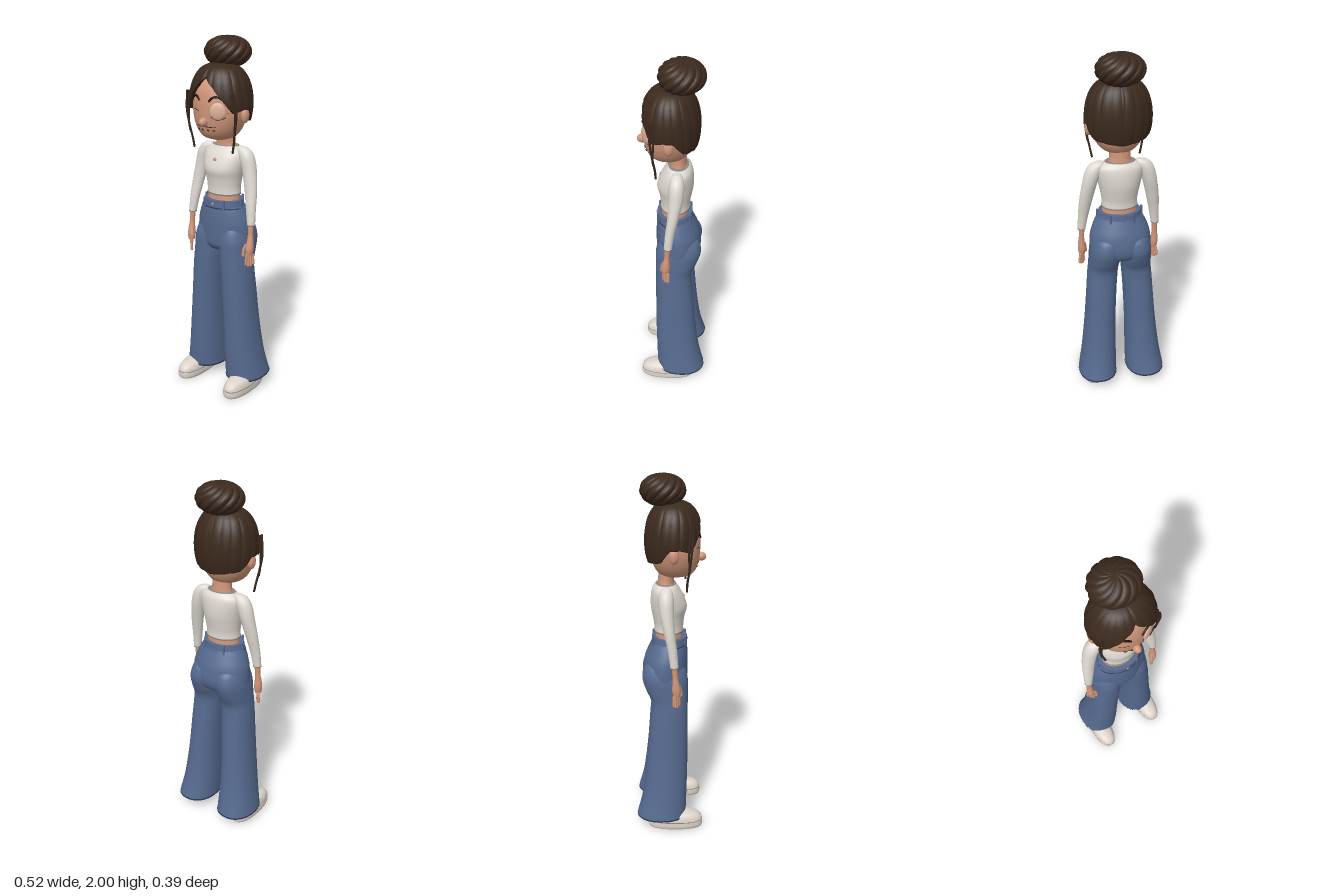
import * as THREE from 'three';
import { mergeGeometries } from 'three/addons/utils/BufferGeometryUtils.js';

const mat = (name, color, side = THREE.FrontSide) => {
  const m = new THREE.MeshStandardMaterial({ color, side });
  m.name = name;
  return m;
};

// Closed-around surface: f(u, v) with u once round from the front, v upward
function grid(nu, nv, f) {
  const pos = [], idx = [];
  for (let i = 0; i <= nv; i++)
    for (let j = 0; j < nu; j++) pos.push(...f(j / nu * Math.PI * 2, i / nv));
  for (let i = 0; i < nv; i++)
    for (let j = 0; j < nu; j++) {
      const a = i * nu + j, b = i * nu + (j + 1) % nu;
      idx.push(a, b, b + nu, a, b + nu, a + nu);
    }
  const g = new THREE.BufferGeometry();
  g.setAttribute('position', new THREE.Float32BufferAttribute(pos, 3));
  g.setIndex(idx);
  g.computeVertexNormals();
  return g;
}

// Smooth loft through rows [y, xMin, xMax, zBack, zFront], listed bottom to top
function loft(rows, { caps = true, power = 2, nu = 40 } = {}) {
  const n = rows.length - 1;
  const row = (v) => {
    const s = Math.min(v * n, n - 1e-6), i = Math.floor(s), t = s - i;
    const at = (k) => rows[Math.max(0, Math.min(n, k))];
    return rows[0].map((_, c) => {
      const [p, q, r, w] = [at(i - 1)[c], at(i)[c], at(i + 1)[c], at(i + 2)[c]];
      return q + 0.5 * t * (r - p + t * (2 * p - 5 * q + 4 * r - w + t * (3 * (q - r) + w - p)));
    });
  };
  const round = (c) => Math.sign(c) * Math.abs(c) ** (2 / power);
  const ring = (u, v, k = 1) => {
    const [y, x0, x1, z0, z1] = row(v);
    return [(x0 + x1) / 2 + k * (x1 - x0) / 2 * round(Math.sin(u)), y,
      (z0 + z1) / 2 + k * (z1 - z0) / 2 * round(Math.cos(u))];
  };
  const parts = [grid(nu, n * 5, ring)];
  if (caps) parts.push(grid(nu, 1, (u, v) => ring(u, 0, v)), grid(nu, 1, (u, v) => ring(u, 1, 1 - v)));
  return mergeGeometries(parts);
}
const mid = (y, x, z0, z1) => [y, -x, x, z0, z1];
const flip = (rows, s) => s > 0 ? rows : rows.map(([y, a, b, z0, z1]) => [y, -b, -a, z0, z1]);
const tube = (pts, r, seg = 20) => new THREE.TubeGeometry(
  new THREE.CatmullRomCurve3(pts.map((p) => new THREE.Vector3(...p))), seg, r, 6);

export function createModel() {
  const root = new THREE.Group();
  const skin = mat('skin', 0xd0967a), lid = mat('pale eyelid', 0xdeb29a);
  const hair = mat('dark brown hair', 0x3b291d, THREE.DoubleSide);
  const denim = mat('blue denim', 0x566a8f, THREE.DoubleSide), seam = mat('dark seam', 0x2e3b55);
  const knit = mat('cream knit', 0xdfdad2), trim = mat('grey trim', 0x8d8780);
  const shoe = mat('beige shoe', 0xdcd3ca), dark = mat('near black lashes', 0x20150f);
  const add = (name, geo, material, parent = root) => {
    const m = new THREE.Mesh(geo, material);
    m.name = name;
    parent.add(m);
    return m;
  };
  const blob = (name, material, p, s) => {
    const m = add(name, new THREE.SphereGeometry(1, 24, 16), material);
    m.position.set(...p);
    m.scale.set(...s);
    return m;
  };

  // Trousers: hips, waistband and belt loops
  add('hips', loft([mid(0.84, 0.1, -0.09, 0.07), mid(0.87, 0.165, -0.135, 0.095), mid(0.92, 0.174, -0.152, 0.1),
    mid(1.0, 0.168, -0.142, 0.1), mid(1.06, 0.146, -0.118, 0.097), mid(1.1, 0.125, -0.1, 0.092)]), denim);
  add('waistband', loft([mid(1.09, 0.125, -0.102, 0.096), mid(1.13, 0.117, -0.098, 0.094)]), denim);
  add('waistSeam', loft([mid(1.086, 0.132, -0.105, 0.097), mid(1.092, 0.129, -0.104, 0.097)]), seam);
  for (const a of [0.55, 1.57, 2.6, 3.68, 4.71, 5.73]) {
    const loop = add('beltLoop', new THREE.BoxGeometry(0.012, 0.055, 0.01), denim);
    loop.position.set(0.125 * Math.sin(a), 1.11, -0.003 + 0.102 * Math.cos(a));
    loop.rotation.y = a;
  }
  blob('waistButton', skin, [0, 1.11, 0.096], [0.008, 0.008, 0.004]);

  for (const s of [1, -1]) {
    const side = s > 0 ? 'left' : 'right';
    // Flared leg with hem
    add(side + 'Leg', loft(flip([[0.07, 0.032, 0.26, -0.19, 0.092], [0.2, 0.031, 0.237, -0.158, 0.096],
      [0.4, 0.03, 0.213, -0.132, 0.1], [0.6, 0.022, 0.196, -0.116, 0.1], [0.72, 0.014, 0.187, -0.105, 0.1],
      [0.78, 0.008, 0.181, -0.108, 0.1], [0.84, 0, 0.178, -0.134, 0.1], [0.91, -0.002, 0.173, -0.154, 0.098],
      [0.97, 0.005, 0.155, -0.142, 0.08], [1.0, 0.03, 0.13, -0.11, 0.05]], s), { caps: false, power: 2.2 }), denim);
    add(side + 'Hem', loft(flip([[0.066, 0.03, 0.262, -0.192, 0.094], [0.076, 0.03, 0.262, -0.191, 0.095]], s),
      { caps: false, power: 2.2 }), seam);
    add(side + 'Ankle', loft(flip([[0.08, 0.13, 0.215, -0.1, 0.0], [0.3, 0.13, 0.2, -0.08, 0.01]], s)), skin);

    // Shoe
    add(side + 'Sole', loft(flip([[0, 0.113, 0.235, -0.12, 0.184], [0.015, 0.108, 0.24, -0.125, 0.19],
      [0.04, 0.108, 0.24, -0.125, 0.19]], s), { power: 2.4 }), shoe);
    add(side + 'SoleSeam', loft(flip([[0.04, 0.11, 0.238, -0.123, 0.188], [0.045, 0.11, 0.238, -0.123, 0.188]], s),
      { power: 2.4 }), trim);
    add(side + 'ShoeUpper', loft(flip([[0.044, 0.11, 0.238, -0.123, 0.188], [0.065, 0.114, 0.234, -0.121, 0.18],
      [0.085, 0.124, 0.224, -0.115, 0.152], [0.1, 0.145, 0.203, -0.1, 0.09]], s), { power: 2.4 }), shoe);

    // Sleeve, cuff, forearm and hand
    add(side + 'Sleeve', loft(flip([[1.015, 0.188, 0.232, 0.0, 0.044], [1.1, 0.172, 0.229, -0.012, 0.038],
      [1.2, 0.15, 0.222, -0.034, 0.026], [1.3, 0.125, 0.206, -0.055, 0.02], [1.37, 0.1, 0.19, -0.06, 0.02],
      [1.41, 0.085, 0.165, -0.052, 0.012], [1.428, 0.09, 0.13, -0.035, -0.005]], s), { nu: 28 }), knit);
    add(side + 'Cuff', loft(flip([[1.012, 0.187, 0.233, -0.001, 0.045], [1.018, 0.187, 0.233, -0.001, 0.045]], s)), trim);
    add(side + 'Hand', loft(flip([[0.845, 0.193, 0.228, 0.017, 0.054], [0.88, 0.189, 0.233, 0.01, 0.058],
      [0.92, 0.193, 0.231, 0.012, 0.05], [0.96, 0.196, 0.226, 0.012, 0.042], [1.03, 0.192, 0.226, 0.006, 0.04]], s),
      { nu: 24 }), skin);
    for (let i = 0; i < 4; i++) {
      const f = add(side + 'Finger', new THREE.CapsuleGeometry(0.0075, [0.06, 0.075, 0.07, 0.05][i], 4, 10), skin);
      f.position.set(s * (0.2 + i * 0.008), 0.82, 0.05 - i * 0.01);
      f.rotation.z = s * (i - 1.5) * 0.06;
    }
    add(side + 'Thumb', tube([[s * 0.197, 0.91, 0.045], [s * 0.188, 0.875, 0.057], [s * 0.187, 0.84, 0.06]], 0.009), skin);

    // Ear and loose strands beside the face
    blob(side + 'Ear', skin, [s * 0.16, 1.605, 0.02], [0.02, 0.042, 0.026]);
    add(side + 'LooseStrand', tube([[s * 0.15, 1.72, 0.12], [s * 0.165, 1.62, 0.11], [s * 0.155, 1.53, 0.1],
      [s * 0.142, 1.46, 0.09], [s * 0.132, 1.41, 0.088]], 0.006), hair);
    add(side + 'ShortStrand', tube([[s * 0.15, 1.72, 0.105], [s * 0.163, 1.62, 0.095], [s * 0.16, 1.55, 0.1],
      [s * 0.153, 1.5, 0.098]], 0.0055), hair);
  }

  // Midriff, top and neck
  add('midriff', loft([mid(1.11, 0.1, -0.08, 0.072), mid(1.19, 0.09, -0.075, 0.065)]), skin);
  add('top', loft([mid(1.16, 0.1, -0.086, 0.074), mid(1.2, 0.099, -0.087, 0.075), mid(1.25, 0.107, -0.096, 0.082),
    mid(1.3, 0.118, -0.104, 0.093), mid(1.36, 0.128, -0.103, 0.073), mid(1.4, 0.122, -0.095, 0.05),
    mid(1.425, 0.085, -0.078, 0.034)]), knit);
  add('topHem', loft([mid(1.157, 0.101, -0.087, 0.075), mid(1.165, 0.101, -0.087, 0.076)]), trim);
  add('neckline', loft([mid(1.42, 0.088, -0.08, 0.036), mid(1.428, 0.08, -0.075, 0.032)]), trim);
  blob('keyhole', skin, [0, 1.355, 0.075], [0.011, 0.012, 0.004]);
  add('neck', loft([mid(1.4, 0.072, -0.072, 0.03), mid(1.44, 0.058, -0.064, 0.022), mid(1.52, 0.056, -0.06, 0.03)]), skin);

  // Head and face
  add('head', loft([mid(1.463, 0.035, -0.02, 0.07), mid(1.483, 0.088, -0.06, 0.122), mid(1.53, 0.126, -0.09, 0.15),
    mid(1.6, 0.15, -0.108, 0.161), mid(1.68, 0.152, -0.115, 0.16), mid(1.75, 0.132, -0.1, 0.142),
    mid(1.81, 0.08, -0.06, 0.09)]), skin);
  blob('nose', skin, [0, 1.57, 0.165], [0.021, 0.024, 0.029]);
  const onFace = (x, y, out = 0.001) => {
    const d = Math.max(0, 1.6 - y);
    return [x, y, 0.024 + out + (0.136 - d * 0.15) * Math.sqrt(1 - (x / (0.151 - d * 0.36)) ** 2)];
  };
  const line = (name, pts, r, m = dark) => add(name, tube(pts.map((p) => onFace(...p)), r), m);
  for (const s of [1, -1]) {
    line('eyebrow', [[s * 0.03, 1.678], [s * 0.05, 1.698], [s * 0.075, 1.703], [s * 0.112, 1.675]], 0.006);
    line('lashLine', [[s * 0.038, 1.625], [s * 0.075, 1.632], [s * 0.12, 1.62]], 0.0025);
  }
  const eye = blob('eyelid', lid, onFace(0.077, 1.63), [0.042, 0.045, 0.012]);
  eye.rotation.y = 0.5;
  line('eyeCrease', [[0.042, 1.6], [0.075, 1.583], [0.112, 1.6]], 0.002);
  line('mouth', [[-0.062, 1.549], [-0.03, 1.545], [0, 1.546], [0.03, 1.545], [0.062, 1.549]], 0.003);
  for (const x of [-0.05, -0.018, 0.018, 0.05]) line('lipMark', [[x - 0.006, 1.53], [x + 0.006, 1.525]], 0.004);

  // Hair cap: lower edge runs from a centre parting down round the ears to the nape
  const edge = [[0, 1.8], [0.35, 1.745], [0.75, 1.665], [1.0, 1.62], [1.35, 1.635], [1.7, 1.635], [2.1, 1.565], [3.15, 1.54]];
  const edgeY = (a) => {
    const i = Math.max(1, edge.findIndex((e) => a <= e[0]));
    const [p, q] = [edge[i - 1], edge[i]];
    return THREE.MathUtils.lerp(p[1], q[1], (a - p[0]) / (q[0] - p[0]));
  };
  add('hairCap', grid(240, 34, (u, v) => {
    const a = Math.min(u, Math.PI * 2 - u);
    const max = Math.acos((edgeY(a) - 1.66) / 0.205);
    const phi = v < 0.04 ? max : max * (1 - v) / 0.96; // last ring turns the edge inward
    const lock = Math.abs(Math.sin(a * 9 + 0.5 * Math.sin(phi * 2))) ** 0.5;
    const part = 1 - 0.04 * Math.exp(-((a / 0.09) ** 2));
    let r = Math.sin(phi) ** 0.65 * (0.985 + 0.035 * lock * Math.min(1, phi)) * part;
    if (v < 0.02) r *= 0.88;
    return [0.177 * r * Math.sin(u), 1.66 + 0.205 * Math.cos(phi), 0.02 + 0.154 * r * Math.cos(u)];
  }), hair);

  // Swirled bun
  add('bun', grid(180, 40, (u, v) => {
    const phi = Math.PI * (1 - v);
    const swirl = Math.abs(Math.sin(u * 6 + phi * 4.5)) ** 0.6;
    const r = 0.93 + 0.1 * swirl * Math.sin(phi);
    return [0.127 * r * Math.sin(phi) * Math.sin(u), 1.916 + 0.088 * r * Math.cos(phi) + 0.002,
      -0.036 + 0.118 * r * Math.sin(phi) * Math.cos(u)];
  }), hair);
  return root;
}
